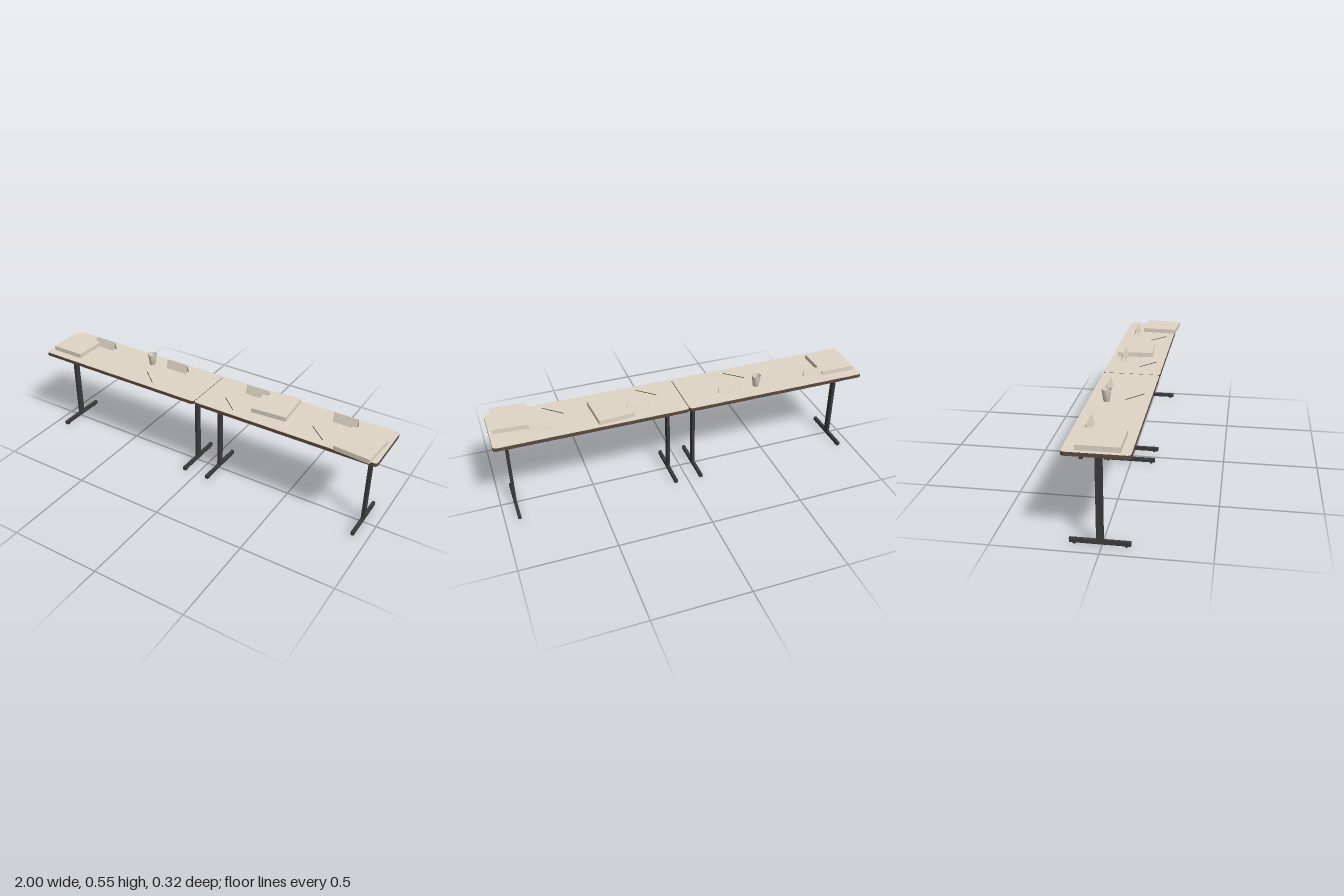
import * as THREE from 'three';

const material = (name, color, side = THREE.FrontSide) => {
  const m = new THREE.MeshStandardMaterial({ color, side });
  m.name = name;
  return m;
};

export function createModel() {
  const beige = material('beige laminate', 0xe0d6c5);
  const paper = material('beige paper', 0xe0d6c5, THREE.DoubleSide);
  const edge = material('brown edge', 0x5c4a3f);
  const underside = material('tan underside', 0x8f7c60);
  const metal = material('black metal', 0x3a3a3a);

  const root = new THREE.Group();
  root.name = 'tableRow';

  const add = (parent, name, geometry, mat, x = 0, y = 0, z = 0) => {
    const mesh = new THREE.Mesh(geometry, mat);
    mesh.name = name;
    mesh.position.set(x, y, z);
    parent.add(mesh);
    return mesh;
  };
  // Box given by its minimum and maximum y and z, centred on x
  const bar = (parent, name, mat, x, w, y0, y1, z0, z1) =>
    add(parent, name, new THREE.BoxGeometry(w, y1 - y0, z1 - z0), mat, x, (y0 + y1) / 2, (z0 + z1) / 2);

  // Flat slab with rounded corners, resting on y = 0
  const slab = (w, d, r, h) => {
    const s = new THREE.Shape();
    const a = w / 2, b = d / 2;
    s.moveTo(-a + r, -b);
    s.lineTo(a - r, -b);
    s.absarc(a - r, -b + r, r, -Math.PI / 2, 0);
    s.absarc(a - r, b - r, r, 0, Math.PI / 2);
    s.absarc(-a + r, b - r, r, Math.PI / 2, Math.PI);
    s.absarc(-a + r, -b + r, r, Math.PI, Math.PI * 1.5);
    return new THREE.ExtrudeGeometry(s, { depth: h, bevelEnabled: false, curveSegments: 6 }).rotateX(-Math.PI / 2);
  };

  // T-shaped leg with foot, pads and top bracket
  const addLeg = (parent, x) => {
    const leg = new THREE.Group();
    leg.name = 'leg';
    leg.position.x = x;
    parent.add(leg);
    bar(leg, 'column', metal, 0, 0.015, 0.027, 0.449, -0.025, 0.008);
    bar(leg, 'bracket', metal, 0, 0.018, 0.449, 0.465, -0.132, 0.116);
    bar(leg, 'foot', metal, 0, 0.016, 0.007, 0.027, -0.146, 0.129);
    for (const z of [-0.147, 0.13]) bar(leg, 'footCap', metal, 0, 0.017, 0.0065, 0.028, z - 0.0015, z + 0.0015);
    for (const z of [-0.126, 0.11])
      add(leg, 'footPad', new THREE.CylinderGeometry(0.007, 0.007, 0.007, 16), metal, 0, 0.0035, z);
  };

  // Two identical tables, side by side
  for (const side of [-1, 1]) {
    const table = new THREE.Group();
    table.name = side > 0 ? 'leftTable' : 'rightTable';
    root.add(table);
    add(table, 'tableTop', slab(0.999, 0.302, 0.018, 0.0175), [underside, edge], side * 0.5005, 0.4645, -0.0085);
    add(table, 'topSurface', slab(0.998, 0.301, 0.0175, 0.001), [beige, edge], side * 0.5005, 0.482, -0.0085);
    addLeg(table, side * 0.925);
    addLeg(table, side * 0.072);
    bar(table, 'crossBeam', metal, side * 0.4985, 0.85, 0.416, 0.449, -0.095, -0.079);
  }
  // Small plates joining the tables
  for (const z of [-0.09, 0.075]) bar(root, 'joiningPlate', metal, 0, 0.08, 0.461, 0.4645, z - 0.012, z + 0.012);

  // Binders: x, z, turn
  for (const [x, z, turn] of [[-0.883, -0.002, 0], [0.385, -0.037, 0.075], [0.882, 0.055, -0.075]])
    add(root, 'binder', new THREE.BoxGeometry(0.188, 0.0245, 0.197), beige, x, 0.495, z).rotation.y = turn;

  // Folded name cards, open at the ends
  const cardHeight = 0.049, cardSpread = 0.014;
  const slope = Math.atan2(cardSpread, cardHeight);
  for (const x of [-0.747, -0.251, 0.251, 0.745]) {
    const card = new THREE.Group();
    card.name = 'nameCard';
    card.position.set(x, 0.483, -0.085);
    root.add(card);
    for (const face of [-1, 1]) {
      const geometry = new THREE.PlaneGeometry(0.129, Math.hypot(cardHeight, cardSpread));
      geometry.rotateX(-slope);
      if (face < 0) geometry.rotateY(Math.PI);
      add(card, 'cardFace', geometry, paper, 0, cardHeight / 2, face * cardSpread / 2);
    }
  }

  // Pens lying diagonally
  for (const x of [-0.335, 0.165, 0.663]) {
    const pen = add(root, 'pen', new THREE.CylinderGeometry(0.0016, 0.0016, 0.12, 8).rotateZ(Math.PI / 2),
      metal, x, 0.4846, 0.061);
    pen.rotation.y = -0.72;
  }

  // Tapered open cup
  const cupProfile = [[0, 0], [0.0155, 0], [0.024, 0.062], [0.0225, 0.062], [0.0145, 0.003], [0, 0.003]]
    .map(([r, y]) => new THREE.Vector2(r, y));
  add(root, 'cup', new THREE.LatheGeometry(cupProfile, 32), paper, -0.408, 0.483, -0.068);

  return root;
}
